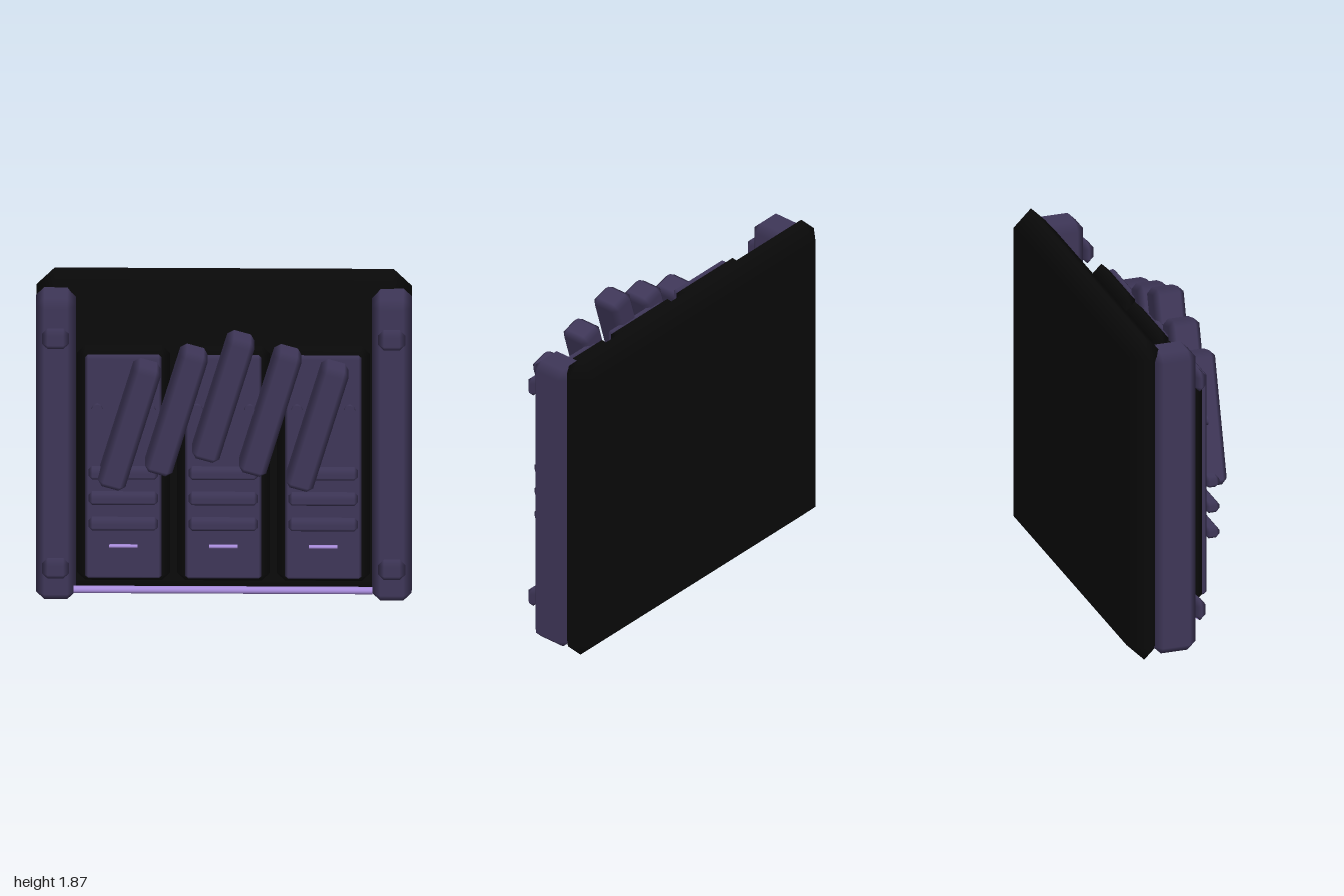
import * as THREE from 'three';
import { ConvexGeometry } from 'three/addons/geometries/ConvexGeometry.js';

const mat = (name, color) => Object.assign(new THREE.MeshStandardMaterial({ color }), { name });

// Box with chamfered edges; the flat faces keep their normals and the chamfers blend between them
function chamferBox(w, h, d, b) {
  const half = [w / 2, h / 2, d / 2];
  const points = [];
  for (let axis = 0; axis < 3; axis++) {
    for (const sx of [-1, 1]) for (const sy of [-1, 1]) for (const sz of [-1, 1]) {
      const c = [sx, sy, sz].map((s, i) => s * (i === axis ? half[i] : half[i] - b));
      points.push(new THREE.Vector3(...c));
    }
  }
  const geo = new ConvexGeometry(points);
  const pos = geo.attributes.position;
  for (let i = 0; i < pos.count; i++) {
    const p = [pos.getX(i), pos.getY(i), pos.getZ(i)];
    const n = p.map((v, k) => (Math.abs(Math.abs(v) - half[k]) < 1e-4 ? Math.sign(v) : 0));
    geo.attributes.normal.setXYZ(i, ...n);
  }
  return geo;
}

export function createModel() {
  const model = new THREE.Group();
  const black = mat('black', 0x0a0a0a);
  const plum = mat('dark plum', 0x3f3759);
  const lilac = mat('lilac', 0xa78bda);

  const add = (name, geo, material, x, y, z) => {
    const mesh = new THREE.Mesh(geo, material);
    mesh.name = name;
    mesh.position.set(x, y, z);
    model.add(mesh);
    return mesh;
  };

  // Back panel
  add('backPanel', chamferBox(2, 1.87, 0.2, 0.098), black, 0, 0.935, -0.23);

  // Side pillars with their bolts
  const pillar = chamferBox(0.212, 1.745, 0.24, 0.045);
  const bolt = chamferBox(0.145, 0.117, 0.066, 0.031);
  for (const side of [-1, 1]) {
    add('pillar', pillar, plum, side * 0.894, 0.918, -0.08);
    for (const y of [0.257, 1.588]) add('pillarBolt', bolt, plum, side * 0.895, y, 0.072);
  }

  // Three door panels with covers, ribs, rivets and light strips
  const backing = chamferBox(0.495, 1.36, 0.094, 0.045);
  const cover = chamferBox(0.407, 1.29, 0.045, 0.015);
  const rib = chamferBox(0.37, 0.062, 0.08, 0.02);
  const rivet = new THREE.CylinderGeometry(0.03, 0.03, 0.03, 8).rotateX(Math.PI / 2);
  const strip = new THREE.CylinderGeometry(0.01, 0.01, 0.15, 10).rotateZ(Math.PI / 2);
  for (const x of [-0.532, 0, 0.532]) {
    add('doorBacking', backing, black, x, 0.888, 0.108);
    add('doorCover', cover, plum, x, 0.89, 0.163);
    for (const y of [0.585, 0.733, 0.88]) add('doorRib', rib, plum, x, y, 0.227);
    for (const dx of [-0.14, 0.14]) add('doorRivet', rivet, plum, x + dx, 1.235, 0.19);
    add('lightStrip', strip, lilac, x, 0.443, 0.2);
  }

  // Five slanted bars in an arch
  const bar = chamferBox(0.152, 0.725, 0.175, 0.03);
  for (const [x, y] of [[-0.5, 1.168], [-0.25, 1.252], [0, 1.332], [0.25, 1.252], [0.5, 1.166]]) {
    add('slantedBar', bar, plum, x, y, 0.242).rotation.z = -0.285;
  }

  // Light tube along the bottom
  const tube = new THREE.CylinderGeometry(0.02, 0.02, 1.59, 16).rotateZ(Math.PI / 2);
  add('lightTube', tube, lilac, -0.002, 0.156, 0.118);

  return model;
}
